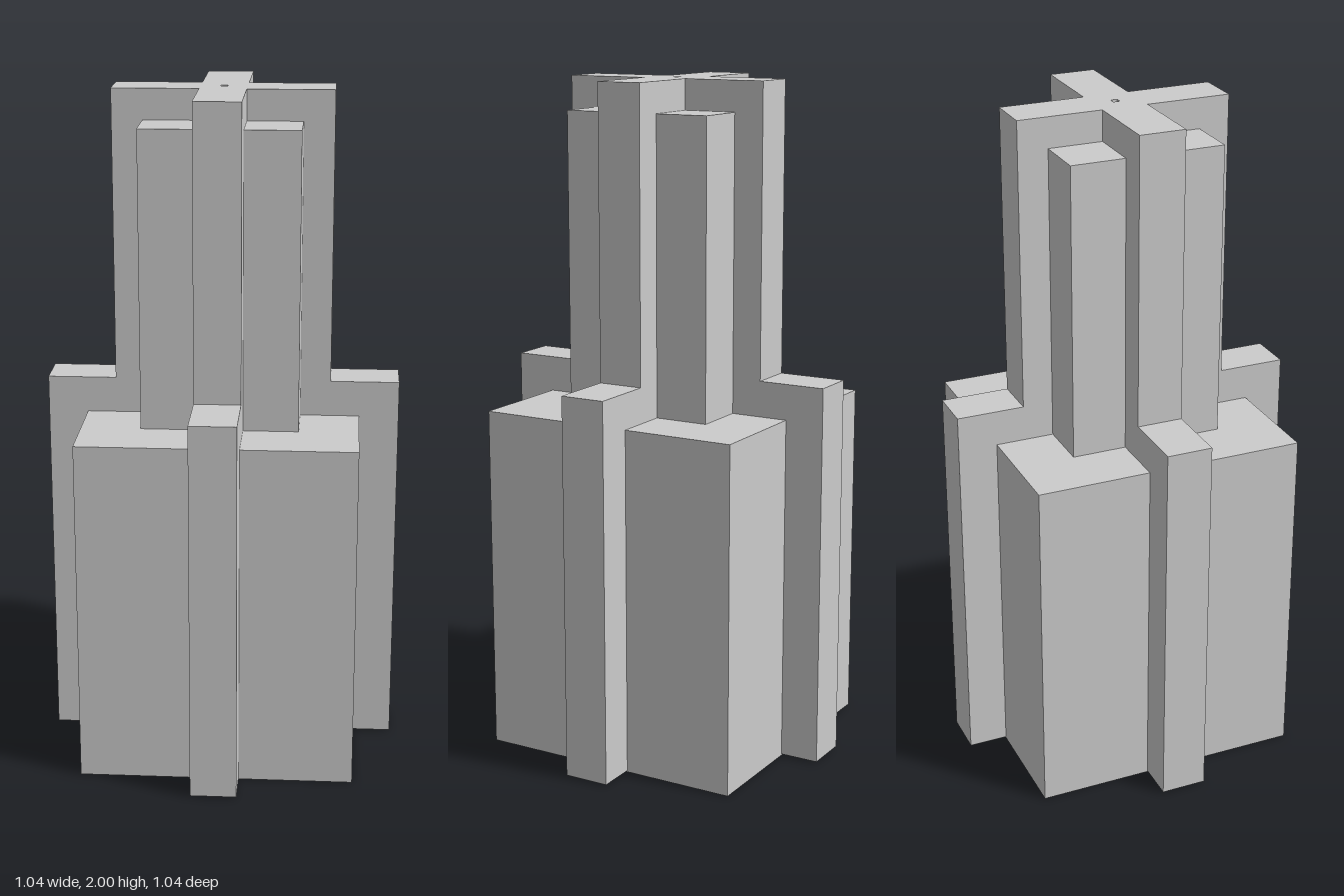
import * as THREE from 'three';

const material = new THREE.MeshStandardMaterial({ color: 0xcccccc, flatShading: true });

// Square block standing between two heights
function block(name, width, y0, y1) {
  const mesh = new THREE.Mesh(new THREE.BoxGeometry(width, y1 - y0, width), material);
  mesh.position.y = (y0 + y1) / 2;
  mesh.name = name;
  return mesh;
}

// Cross-shaped buttress: plan outline extruded upward, with an optional square centre hole
function crossFins(name, reach, half, y0, y1, hole = 0) {
  const shape = new THREE.Shape();
  for (let i = 0; i < 4; i++) {
    const c = Math.round(Math.cos(i * Math.PI / 2));
    const s = Math.round(Math.sin(i * Math.PI / 2));
    for (const [x, y] of [[reach, -half], [reach, half], [half, half]]) {
      const px = x * c - y * s, py = x * s + y * c;
      if (i === 0 && y === -half) shape.moveTo(px, py);
      else shape.lineTo(px, py);
    }
  }
  shape.closePath();
  if (hole) {
    const h = hole / 2;
    shape.holes.push(new THREE.Path([[-h, -h], [-h, h], [h, h], [h, -h]].map(p => new THREE.Vector2(...p))));
  }
  const geometry = new THREE.ExtrudeGeometry(shape, { depth: y1 - y0, bevelEnabled: false });
  geometry.rotateX(-Math.PI / 2);
  const mesh = new THREE.Mesh(geometry, material);
  mesh.position.y = y0;
  mesh.name = name;
  return mesh;
}

export function createModel() {
  const model = new THREE.Group();
  model.name = 'steppedTower';
  model.add(
    block('lowerCore', 0.81, 0, 1.036),
    block('upperCore', 0.46, 1.03, 1.91),
    crossFins('lowerFins', 0.522, 0.068, 0.004, 1.142),
    crossFins('upperFins', 0.32, 0.068, 1.142, 2, 0.02),
  );
  return model;
}
